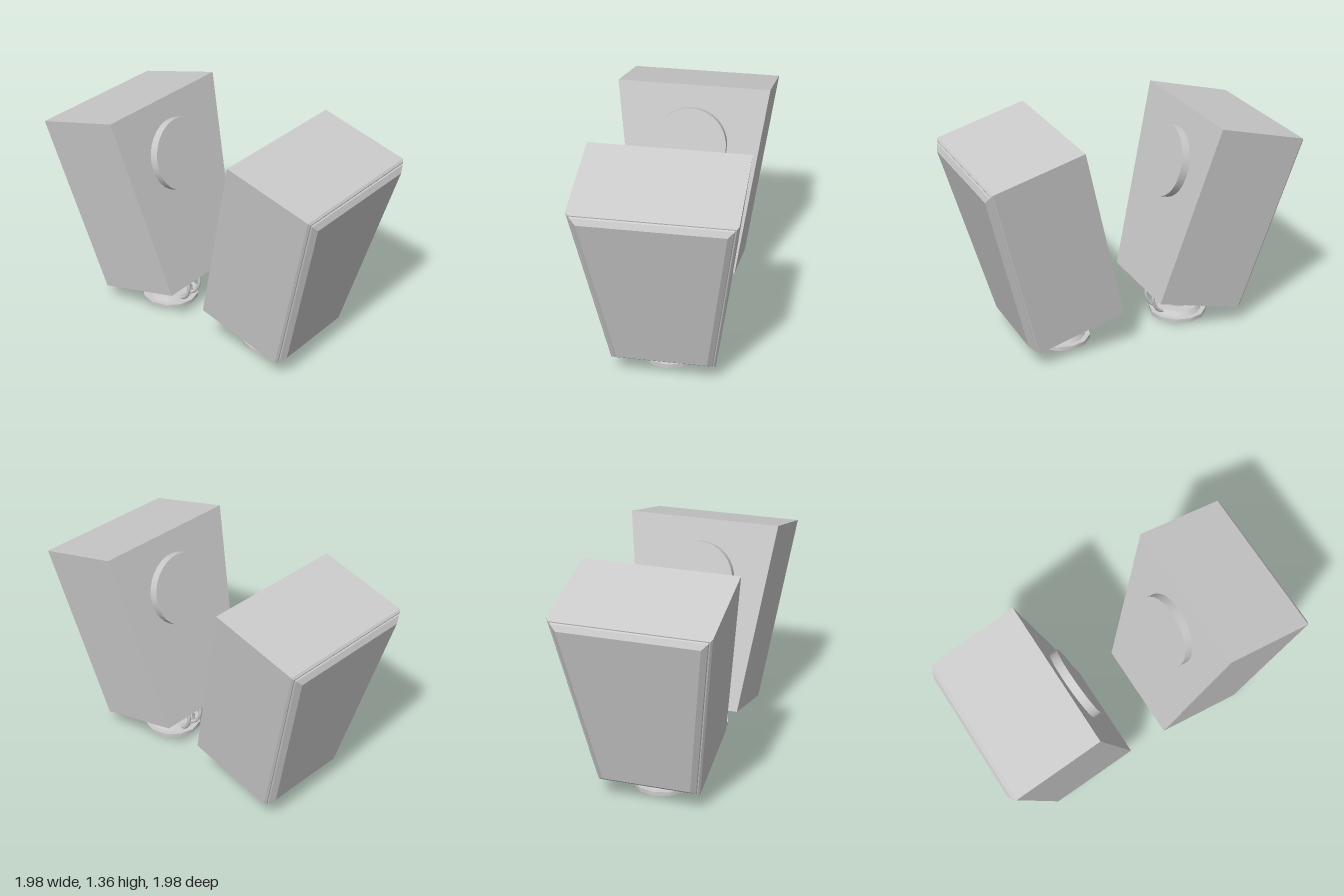
import * as THREE from 'three';

const H = 1.147, D = 0.56, TILT = Math.PI / 12;
const mat = new THREE.MeshStandardMaterial({ color: 0xcccccc, side: THREE.DoubleSide });

function add(parent, name, geometry, x = 0, y = 0, z = 0) {
  const mesh = new THREE.Mesh(geometry, mat);
  mesh.name = name;
  mesh.position.set(x, y, z);
  parent.add(mesh);
  return mesh;
}

// Four corners of the tapered outline, pulled in by inset, at depth z
function ring([inset, z]) {
  const half = y => 0.304 + 0.152 * y / H - inset;
  const y0 = inset, y1 = H - inset;
  return [[-half(y0), y0, z], [half(y0), y0, z], [half(y1), y1, z], [-half(y1), y1, z]];
}

// Faceted skin through the rings, with optional back cap and open underside
function loft(steps, { back = false, openBottom = false } = {}) {
  const rings = steps.map(ring), pos = [];
  const quad = (a, b, c, d) => pos.push(...a, ...b, ...c, ...a, ...c, ...d);
  for (let k = 0; k < rings.length - 1; k++) {
    for (let i = 0; i < 4; i++) {
      if (openBottom && k === 0 && i === 0) continue;
      const j = (i + 1) % 4;
      quad(rings[k][i], rings[k][j], rings[k + 1][j], rings[k + 1][i]);
    }
  }
  quad(...rings[rings.length - 1]);
  if (back) quad(...[...rings[0]].reverse());
  const g = new THREE.BufferGeometry();
  g.setAttribute('position', new THREE.Float32BufferAttribute(pos, 3));
  g.computeVertexNormals();
  return g;
}

// Flat panel with a rectangular opening, lying in xz with its underside at y = 0
function bottomPanel(thickness) {
  const rect = (C, w, z0, z1) => {
    const s = new C();
    s.moveTo(-w, z0); s.lineTo(w, z0); s.lineTo(w, z1); s.lineTo(-w, z1); s.closePath();
    return s;
  };
  const shape = rect(THREE.Shape, 0.304, 0.001, D - 0.012);
  shape.holes.push(rect(THREE.Path, 0.14, 0.09, 0.40));
  return new THREE.ExtrudeGeometry(shape, { depth: thickness, bevelEnabled: false })
    .rotateX(Math.PI / 2).translate(0, thickness, 0);
}

function createSpeaker() {
  const speaker = new THREE.Group();
  speaker.name = 'speaker';

  // Cabinet, leaning forward over its stand
  const cabinet = new THREE.Group();
  cabinet.name = 'cabinet';
  cabinet.position.set(0, 0.25, 0.12);
  cabinet.rotation.x = TILT;
  speaker.add(cabinet);
  add(cabinet, 'cabinetShell', loft([[0, 0], [0, D - 0.012], [0.01, D]], { back: true, openBottom: true }));
  add(cabinet, 'bottomPanel', bottomPanel(0.06));
  add(cabinet, 'recessCeiling', new THREE.BoxGeometry(0.32, 0.02, 0.35), 0, 0.07, 0.245);
  add(cabinet, 'frontGrille', loft([[0.015, D - 0.005], [0.02, D + 0.008], [0.05, D + 0.03]]));
  add(cabinet, 'rearDisc', new THREE.CylinderGeometry(0.217, 0.217, 0.06, 32).rotateX(Math.PI / 2), 0, 0.797, -0.02);

  // Stand: stepped foot and post
  const stand = new THREE.Group();
  stand.name = 'stand';
  stand.position.z = 0.393;
  speaker.add(stand);
  add(stand, 'footFlange', new THREE.CylinderGeometry(0.175, 0.175, 0.025, 12), 0, 0.0125);
  add(stand, 'footStep', new THREE.CylinderGeometry(0.125, 0.145, 0.03, 12), 0, 0.04);
  add(stand, 'post', new THREE.CylinderGeometry(0.062, 0.062, 0.21, 20), 0, 0.155);

  // Pair of cables bowing out behind the post
  for (const side of [-1, 1]) {
    const path = new THREE.CatmullRomCurve3([
      [0.035, 0.035, 0.285], [0.045, 0.06, 0.235], [0.05, 0.13, 0.2], [0.05, 0.2, 0.215], [0.045, 0.28, 0.26],
    ].map(([x, y, z]) => new THREE.Vector3(side * x, y, z)));
    add(speaker, 'cable', new THREE.TubeGeometry(path, 20, 0.011, 8));
  }
  return speaker;
}

export function createModel() {
  const model = new THREE.Group();
  model.name = 'speakerPair';
  // Two speakers set back to back on the diagonal
  for (const turn of [0, 1]) {
    const speaker = createSpeaker();
    speaker.rotation.y = Math.PI / 4 + turn * Math.PI;
    model.add(speaker);
  }
  return model;
}
